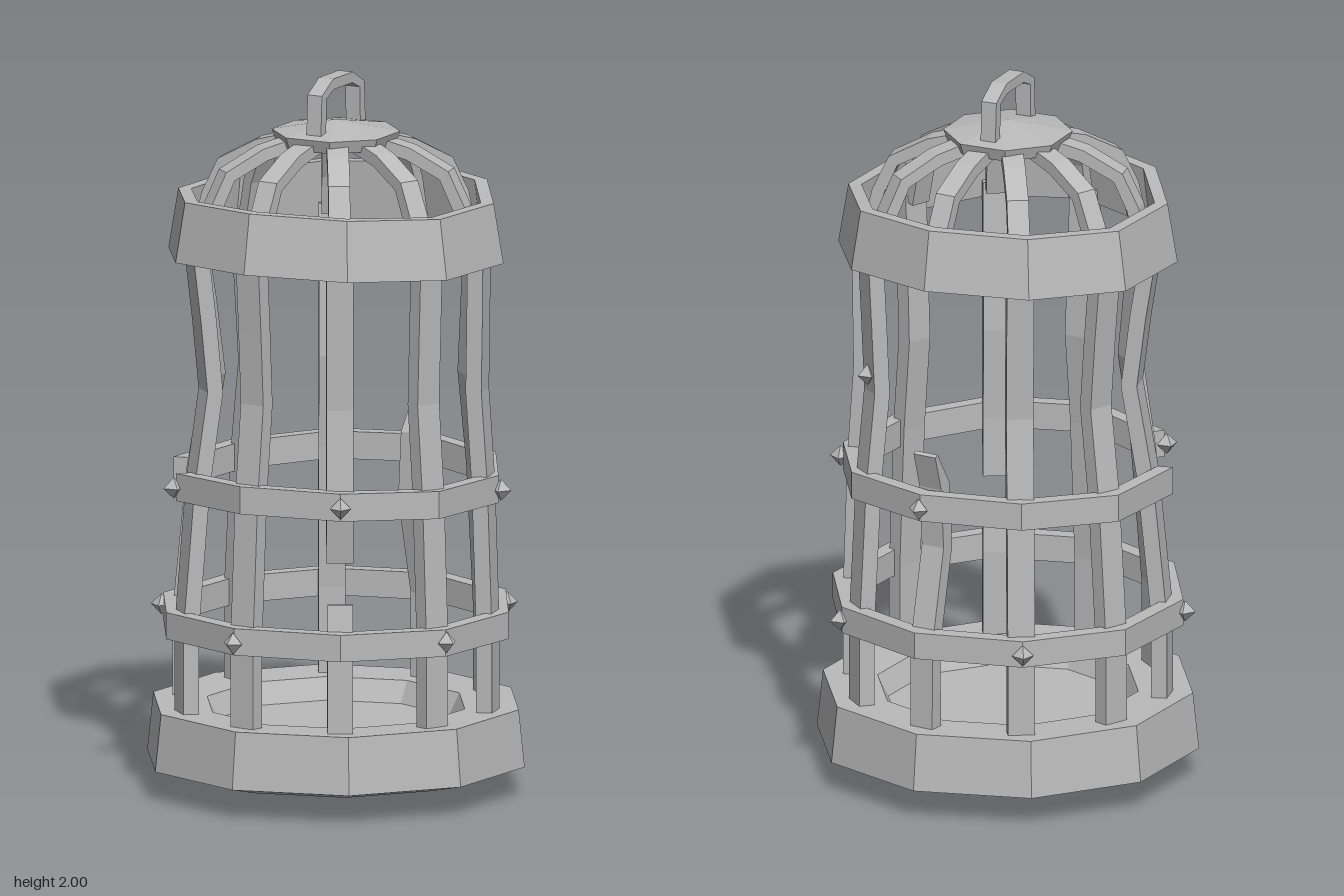
import * as THREE from 'three';

const SIDES = 10;
const STEP = (Math.PI * 2) / SIDES;
const START = THREE.MathUtils.degToRad(-4);
const TWIST = THREE.MathUtils.degToRad(-2.3); // bars and hoops sit slightly turned on the base
const corner = (k) => START + k * STEP; // angle from +z towards +x
const barAngle = (k) => corner(k) + TWIST;

const metal = new THREE.MeshStandardMaterial({ color: 0xbababa });
metal.name = 'grey metal';
metal.flatShading = true;
metal.side = THREE.DoubleSide;

function add(parent, name, geometry) {
  const mesh = new THREE.Mesh(geometry, metal);
  mesh.name = name;
  parent.add(mesh);
  return mesh;
}

// Ten-sided turned part; wave lifts the front and back, and lowers the sides
function turned(profile, start, wave = 0, count = SIDES) {
  const points = profile.map(([r, y]) => new THREE.Vector2(r, y));
  const geo = new THREE.LatheGeometry(points, count, start, count * STEP);
  const pos = geo.attributes.position;
  for (let i = 0; i < pos.count; i++) {
    const a = Math.atan2(pos.getX(i), pos.getZ(i));
    pos.setY(i, pos.getY(i) + wave * Math.cos(2 * a));
  }
  return geo;
}

// Closed rectangular hoop profile: outer and inner radius, bottom and top
const hoop = (ro, ri, y0, y1) => [[ro, y0], [ro, y1], [ri, y1], [ri, y0], [ro, y0]];

// Flat bar following a path of [radius, height], with an optional thin tip
function bar(path, width, thick, tipStart = 1, tipEnd = 1) {
  const outer = [], inner = [];
  path.forEach(([r, y], i) => {
    const p = path[Math.max(i - 1, 0)], n = path[Math.min(i + 1, path.length - 1)];
    const dx = n[0] - p[0], dy = n[1] - p[1], len = Math.hypot(dx, dy);
    const tip = i === 0 ? tipStart : i === path.length - 1 ? tipEnd : 1;
    const h = (thick / 2) * tip;
    outer.push(new THREE.Vector2(r + (dy / len) * h, y - (dx / len) * h));
    inner.unshift(new THREE.Vector2(r - (dy / len) * h, y + (dx / len) * h));
  });
  const geo = new THREE.ExtrudeGeometry(new THREE.Shape([...outer, ...inner]), { depth: width, bevelEnabled: false });
  return geo.translate(0, 0, -width / 2);
}

function stud(parent, a, r, y) {
  const mesh = add(parent, 'stud', new THREE.OctahedronGeometry(0.03));
  mesh.position.set(r * Math.sin(a), y, r * Math.cos(a));
  mesh.rotation.y = a;
}

export function createModel() {
  const cage = new THREE.Group();
  cage.name = 'hanging cage';

  // Base with shallow pointed underside, wide rim and sunken floor
  add(cage, 'base', turned([
    [0, 0.002], [0.41, 0.055], [0.535, 0.085], [0.518, 0.245],
    [0.365, 0.24], [0.335, 0.18], [0, 0.18],
  ], START));

  // Lower hoop, complete
  add(cage, 'lowerHoop', turned(hoop(0.495, 0.447, 0.45, 0.525), barAngle(0), 0.004));

  // Upper hoop, with one side missing
  const upper = hoop(0.466, 0.422, 0.835, 0.912);
  add(cage, 'upperHoop', turned(upper, barAngle(-1), 0.01, SIDES - 1));
  const endShape = new THREE.Shape(upper.slice(0, 4).map(([r, y]) => new THREE.Vector2(r, y)));
  for (const k of [-1, -2]) {
    const a = barAngle(k);
    const end = add(cage, 'hoopEnd', new THREE.ShapeGeometry(endShape));
    end.rotation.y = a - Math.PI / 2;
    end.position.y = 0.01 * Math.cos(2 * a);
  }

  // Crown band holding the tops of the bars
  add(cage, 'crownBand', turned([
    [0.475, 1.505], [0.447, 1.672], [0.41, 1.672], [0.43, 1.505], [0.475, 1.505],
  ], START, 0.013));

  // Bars: radius of each one at its waist
  const waistRadius = [0.385, 0.39, 0.395, 0.405, 0.39, 0.38, 0.38, 0.37, 0.35, 0.365];
  for (let k = 0; k < SIDES; k++) {
    const group = new THREE.Group();
    group.name = 'bar';
    group.rotation.y = barAngle(k) - Math.PI / 2;
    cage.add(group);
    const w = waistRadius[k];
    const low = [[0.435, 0.2], [0.435, 0.48]];
    const high = [[w, 1.14], [w * 0.6 + 0.165, 1.34], [0.41, 1.56]];
    const middle = [w * 0.5 + 0.22, 0.88];
    if (k === 1) {
      // snapped just above the lower hoop
      add(group, 'barStump', bar([...low, [0.43, 0.6]], 0.07, 0.045, 1, 0.3));
      add(group, 'hangingBar', bar([[0.39, 0.71], [0.405, 0.88], ...high], 0.075, 0.045, 0.35));
    } else if (k === 5) {
      // snapped near the middle, with its tip bent outwards
      add(group, 'brokenBar', bar([...low, [0.375, 0.75], [0.388, 0.93], [0.435, 1.03]], 0.07, 0.045, 1, 0.3));
    } else {
      add(group, 'uprightBar', bar([...low, middle, ...high], 0.075, 0.045));
    }
    // dome rib curving up to the cap
    add(group, 'domeRib', bar([[0.385, 1.54], [0.36, 1.65], [0.318, 1.74], [0.215, 1.795], [0.1, 1.825]], 0.06, 0.035));
  }

  // Studs on alternating corners of the hoops, and one on a back bar
  for (const k of [-1, 1, 3, 5]) stud(cage, barAngle(k), 0.473, 0.872 + 0.01 * Math.cos(2 * barAngle(k)));
  for (const k of [0, 2, 4, 6, 8]) stud(cage, barAngle(k), 0.5, 0.488);
  stud(cage, barAngle(4), 0.418, 1.19);

  // Eight-sided cap with a low point
  const cap = add(cage, 'cap', new THREE.LatheGeometry(
    [[0, 1.81], [0.165, 1.81], [0.178, 1.845], [0, 1.875]].map(([r, y]) => new THREE.Vector2(r, y)), 8));
  cap.rotation.y = Math.PI / 8;

  // Carrying handle, running front to back
  const handle = add(cage, 'handle', bar([
    [-0.115, 1.845], [-0.11, 1.957], [-0.055, 1.985], [0.055, 1.985], [0.11, 1.957], [0.115, 1.845],
  ], 0.045, 0.03));
  handle.rotation.y = -Math.PI / 2;

  return cage;
}
